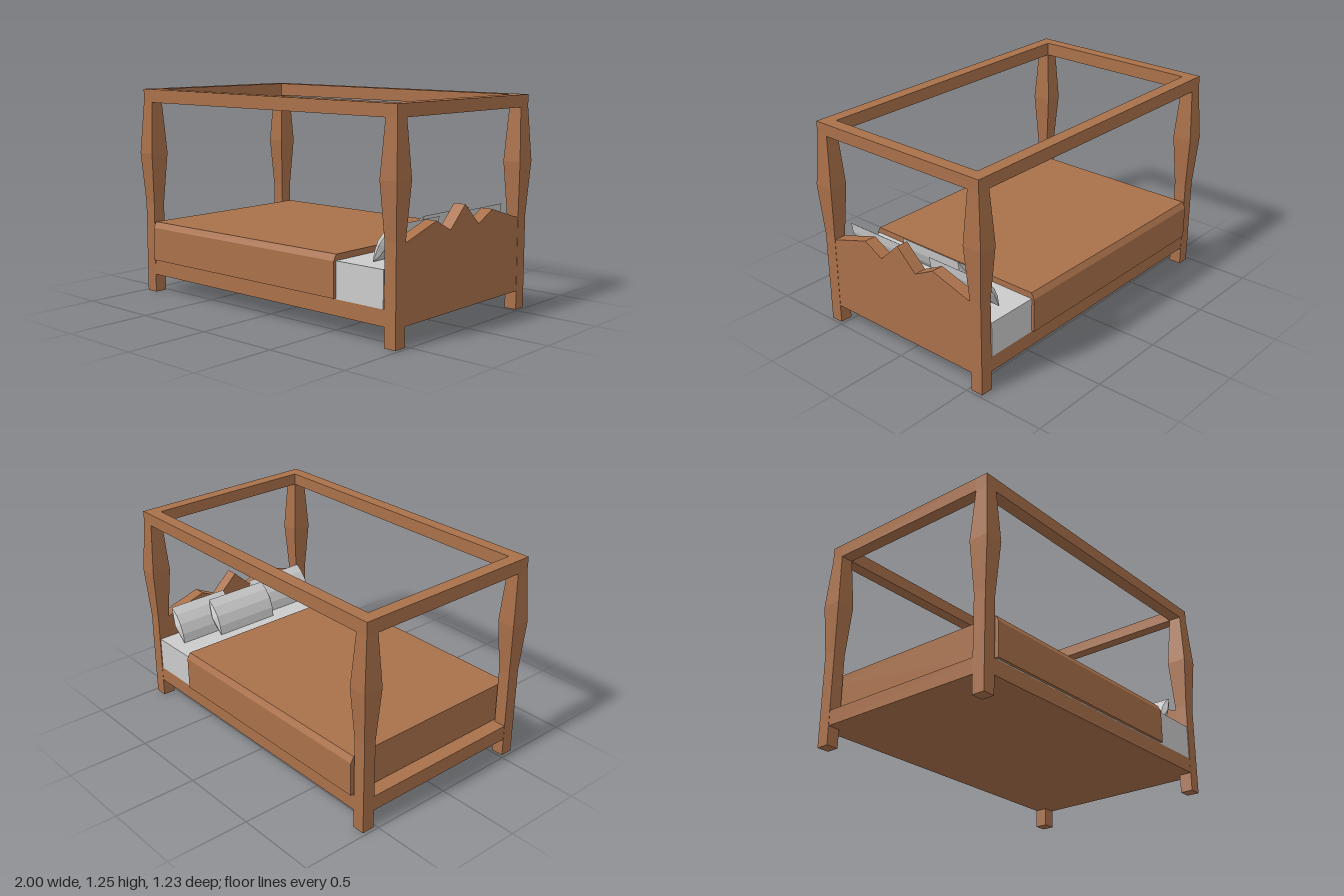
import * as THREE from 'three';

const wood = new THREE.MeshStandardMaterial({ color: 0xa9704a });
wood.name = 'brown wood';
const linen = new THREE.MeshStandardMaterial({ color: 0xcbcbcb });
linen.name = 'pale linen';

// Splits shared corners so every face is shaded flat
function faceted(geometry) {
  const flat = geometry.index ? geometry.toNonIndexed() : geometry;
  flat.computeVertexNormals();
  return flat;
}

// Moves every vertex of a geometry by a rule
function reshape(geometry, rule) {
  const p = geometry.attributes.position;
  const v = new THREE.Vector3();
  for (let i = 0; i < p.count; i++) {
    rule(v.fromBufferAttribute(p, i));
    p.setXYZ(i, v.x, v.y, v.z);
  }
  return faceted(geometry);
}

// The canopy top falls very slightly toward the head end
const canopyTop = (x) => 1.243 - 0.005 * x;

export function createModel() {
  const bed = new THREE.Group();
  bed.name = 'fourPosterBed';

  function add(name, geometry, material) {
    const mesh = new THREE.Mesh(geometry, material);
    mesh.name = name;
    bed.add(mesh);
    return mesh;
  }

  function block(x0, x1, y0, y1, z0, z1) {
    return new THREE.BoxGeometry(x1 - x0, y1 - y0, z1 - z0)
      .translate((x0 + x1) / 2, (y0 + y1) / 2, (z0 + z1) / 2);
  }

  // Square posts that swell in the middle: [height, half width, half depth]
  const rings = [
    [0, 0.0375, 0.038], [0.55, 0.0375, 0.038], [0.86, 0.055, 0.06],
    [1.17, 0.0375, 0.038], [1.243, 0.0375, 0.038],
  ];
  for (const sx of [-1, 1]) {
    for (const sz of [-1, 1]) {
      const post = new THREE.BoxGeometry(2, 4, 2, 1, 4, 1);
      reshape(post, () => {});
      const geometry = reshape(post, (v) => {
        const ring = Math.round(v.y + 2);
        const [y, w, d] = rings[ring];
        v.set(sx * 0.944 + v.x * w, y, sz * 0.556 + v.z * d);
        if (ring === 4) v.y = canopyTop(v.x);
      });
      add('post', geometry, wood);
    }
  }

  // Canopy rails between the posts
  const slope = (g) => reshape(g, (v) => { if (v.y > 1.2) v.y = canopyTop(v.x); });
  for (const s of [-1, 1]) {
    const z = s * 0.556;
    add('sideRail', slope(block(-0.907, 0.907, 1.168, 1.243, z - 0.038, z + 0.038)), wood);
    const x = s * 0.944;
    add('endRail', slope(block(x - 0.0375, x + 0.0375, 1.168, 1.243, -0.518, 0.518)), wood);
  }

  // Solid bed base
  add('base', block(-0.98, 0.98, 0.11, 0.2, -0.593, 0.593), wood);

  // Headboard with a peaked top edge, drawn as (z, y)
  const outline = [
    [-0.518, 0.2], [0.518, 0.2], [0.518, 0.54], [0.26, 0.62], [0.135, 0.555],
    [0.005, 0.677], [-0.125, 0.555], [-0.255, 0.62], [-0.518, 0.54],
  ];
  const toShape = (points) => new THREE.Shape(points.map(([a, b]) => new THREE.Vector2(a, b)));
  // Extrudes a (z, y) outline along x from x0 to x1
  function alongX(points, x0, x1) {
    const mirrored = points.map(([z, y]) => [-z, y]);
    return new THREE.ExtrudeGeometry(toShape(mirrored), { depth: x1 - x0, bevelEnabled: false })
      .rotateY(Math.PI / 2).translate(x0, 0, 0);
  }
  add('headboard', alongX(outline, 0.907, 0.98), wood);

  // Mattress and the blanket with chamfered long edges
  add('mattress', block(-0.89, 0.9, 0.2, 0.405, -0.593, 0.593), linen);
  const blanketOutline = [
    [-0.61, 0.205], [0.61, 0.205], [0.61, 0.405], [0.59, 0.44], [-0.59, 0.44], [-0.61, 0.405],
  ];
  add('blanket', alongX(blanketOutline, -0.897, 0.58), wood);

  // Eight-sided leaf-section pillows with shallow pointed ends, leaning back
  function pillow(x, z0, z1) {
    const half = (z1 - z0) / 2;
    const profile = [[0, -half], [1, 0.022 - half], [1, half - 0.022], [0, half]]
      .map(([r, y]) => new THREE.Vector2(r, y));
    const geometry = reshape(new THREE.LatheGeometry(profile, 8), (v) => {
      const corner = Math.abs(v.x) > 0.1 && Math.abs(v.z) > 0.1;
      v.x *= corner ? 0.09 : 0.117;
      v.z *= 0.031;
    });
    geometry.rotateX(Math.PI / 2).rotateZ(Math.atan2(0.2, 0.118));
    const mesh = add('pillow', geometry, linen);
    mesh.position.set(x, 0.51, (z0 + z1) / 2);
  }
  pillow(0.75, -0.297, 0.165);
  pillow(0.812, -0.535, -0.1);
  pillow(0.812, 0.065, 0.52);

  return bed;
}
